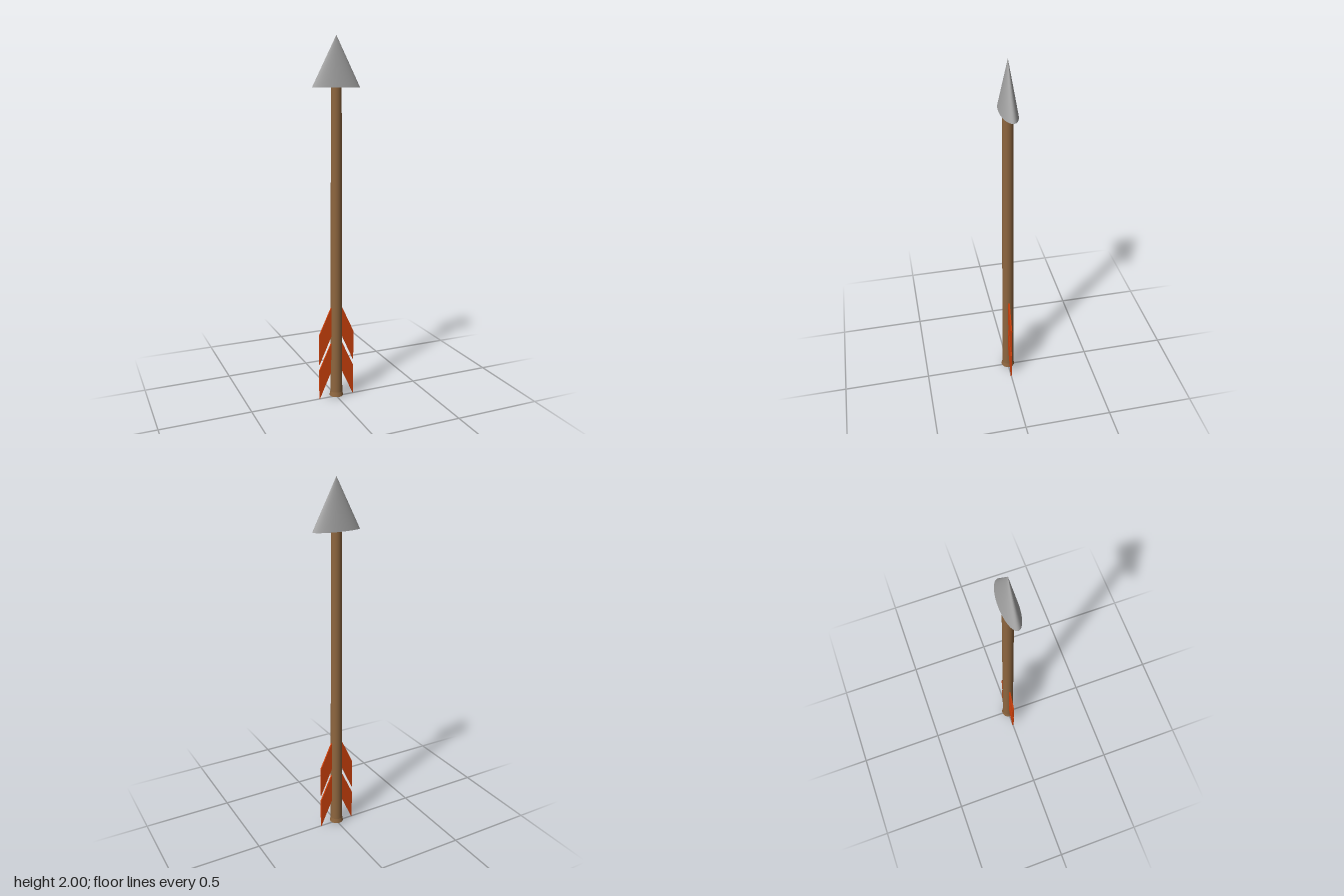
import * as THREE from 'three';

export function createModel() {
  const model = new THREE.Group();
  const wood = new THREE.MeshStandardMaterial({ name: 'brownWood', color: 0x8e663f });
  const steel = new THREE.MeshStandardMaterial({ name: 'greySteel', color: 0xa6a6a6 });
  const feather = new THREE.MeshStandardMaterial({ name: 'orangeFeather', color: 0xd0420c });

  const add = (name, geometry, material, y = 0) => {
    const mesh = new THREE.Mesh(geometry, material);
    mesh.name = name;
    mesh.position.y = y;
    model.add(mesh);
    return mesh;
  };

  // Flattened conical head
  const headHeight = 0.265;
  const headGeometry = new THREE.ConeGeometry(0.135, headHeight, 48);
  headGeometry.scale(1, 1, 1 / 3);
  add('arrowhead', headGeometry, steel, 2 - headHeight / 2);

  // Slightly tapered shaft with a flared nock at the tail
  const bottom = 0.015, flareTop = 0.04, top = 1.74;
  add('shaft', new THREE.CylinderGeometry(0.028, 0.034, top - flareTop, 32),
    wood, (top + flareTop) / 2);
  add('nock', new THREE.CylinderGeometry(0.034, 0.039, flareTop - bottom, 32),
    wood, (flareTop + bottom) / 2);

  // Two slanted vanes on each side, rooted inside the shaft
  const thickness = 0.009;
  for (const side of [1, -1]) {
    for (const [level, y] of [['lower', 0.005], ['upper', 0.213]]) {
      const points = [[0.01, 0.205], [0.103, 0], [0.103, 0.172], [0.01, 0.372]]
        .map(([x, h]) => new THREE.Vector2(side * x, y + h));
      const geometry = new THREE.ExtrudeGeometry(new THREE.Shape(points),
        { depth: thickness, bevelEnabled: false });
      geometry.translate(0, 0, -thickness / 2);
      add(`${level}${side > 0 ? 'Left' : 'Right'}Vane`, geometry, feather);
    }
  }

  return model;
}
